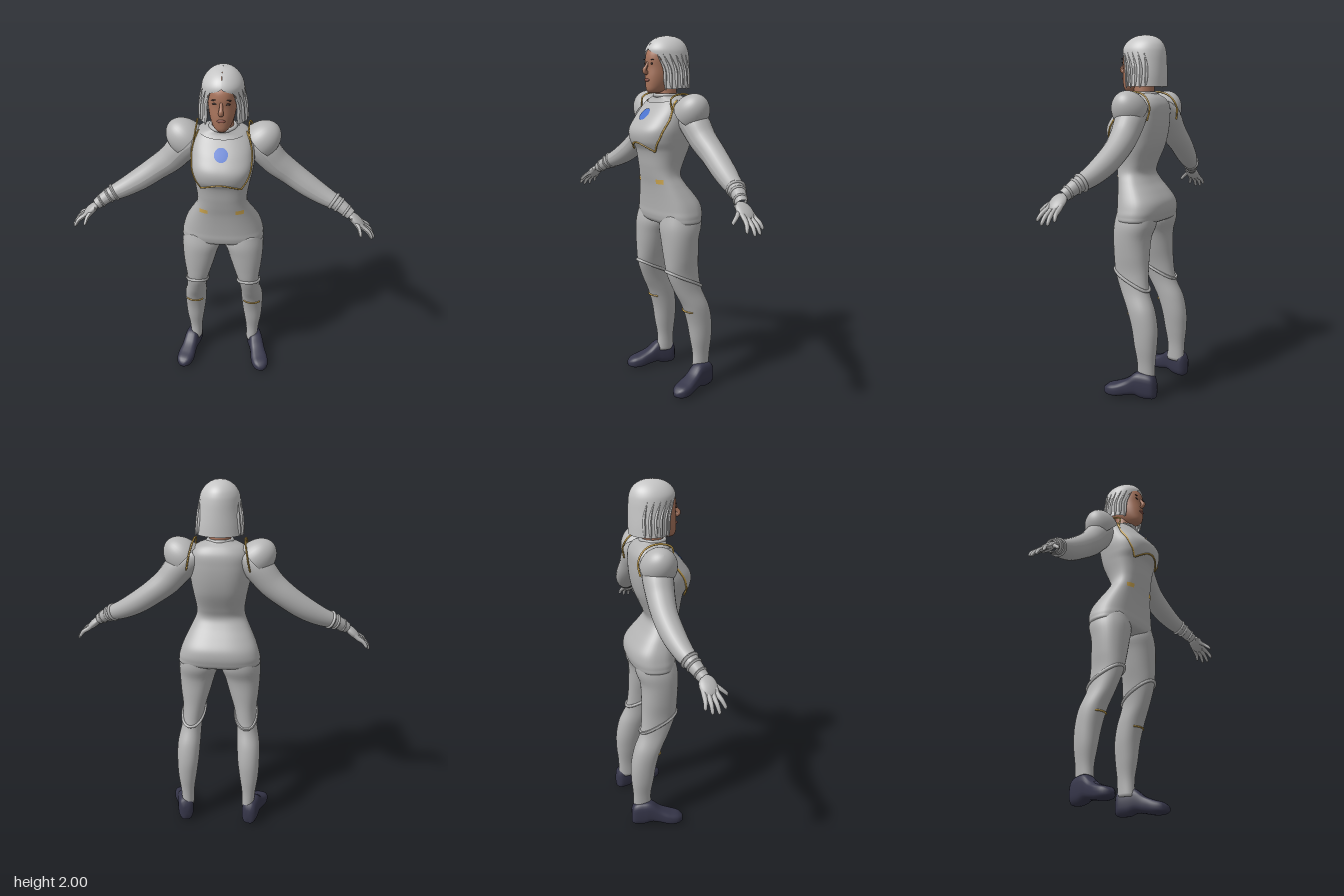
import * as THREE from 'three';

const paint = (name, color, side = THREE.FrontSide) =>
  Object.assign(new THREE.MeshStandardMaterial({ color, side }), { name });
const V = (x, y, z) => new THREE.Vector3(x, y, z);

// Smooth interpolation through rows whose first column rises
const profile = rows => y => {
  let i = 0;
  while (i < rows.length - 2 && y > rows[i + 1][0]) i++;
  const a = rows[i], b = rows[i + 1], p = rows[i - 1] || a, q = rows[i + 2] || b;
  const h = b[0] - a[0], t = (y - a[0]) / h, t2 = t * t, t3 = t2 * t;
  return a.map((v, k) => {
    const m = (b[k] - p[k]) / (b[0] - p[0]) * h, n = (q[k] - a[k]) / (q[0] - a[0]) * h;
    return v * (2 * t3 - 3 * t2 + 1) + m * (t3 - 2 * t2 + t) + b[k] * (3 * t2 - 2 * t3) + n * (t3 - t2);
  });
};

// Skin a list of point loops; closed loops may be capped
function loft(rings, closed = true) {
  const n = rings[0].length, pos = rings.flat().flatMap(p => [p.x, p.y, p.z]), idx = [];
  for (let i = 0; i < rings.length - 1; i++)
    for (let j = 0; j < (closed ? n : n - 1); j++) {
      const a = i * n + j, b = i * n + (j + 1) % n;
      idx.push(a, b, b + n, a, b + n, a + n);
    }
  if (closed) [0, rings.length - 1].forEach(i => {
    const c = rings[i].reduce((s, p) => s.add(p), V(0, 0, 0)).divideScalar(n), k = pos.length / 3;
    pos.push(c.x, c.y, c.z);
    for (let j = 0; j < n; j++) {
      const a = i * n + j, b = i * n + (j + 1) % n;
      i ? idx.push(k, a, b) : idx.push(k, b, a);
    }
  });
  const g = new THREE.BufferGeometry();
  g.setAttribute('position', new THREE.Float32BufferAttribute(pos, 3));
  g.setIndex(idx);
  g.computeVertexNormals();
  return g;
}

// Upright body from rows [y, xMin, xMax, zFront, zBack]
function body(rows, power = 2, steps = 50, sides = 36) {
  const prof = profile(rows), y0 = rows[0][0], y1 = rows[rows.length - 1][0];
  const bend = v => Math.sign(v) * Math.abs(v) ** (2 / power);
  const at = (y, a, out = 0) => {
    const [, l, r, f, b] = prof(y);
    return V((l + r) / 2 + ((r - l) / 2 + out) * bend(Math.sin(a)), y, (f + b) / 2 + ((f - b) / 2 + out) * bend(Math.cos(a)));
  };
  const front = (x, y, out = 0) => {
    const [, l, r, f, b] = prof(y), u = Math.min(0.985, Math.abs(x - (l + r) / 2) / ((r - l) / 2));
    return V(x, y, (f + b) / 2 + (f - b) / 2 * (1 - u ** power) ** (1 / power) + out);
  };
  const rings = Array.from({ length: steps + 1 }, (_, i) =>
    Array.from({ length: sides }, (_, j) => at(y0 + (y1 - y0) * i / steps, j / sides * Math.PI * 2)));
  return { geometry: loft(rings), at, front };
}
const sym = rows => rows.map(([y, w, f, b]) => [y, -w, w, f, b]);

// Tube whose radius changes along the path, points are [x, y, z, radius]
function limb(pts, steps = 24, sides = 16) {
  const curve = new THREE.CatmullRomCurve3(pts.map(p => V(p[0], p[1], p[2])));
  const g = new THREE.TubeGeometry(curve, steps, 1, sides), P = g.attributes.position;
  const radius = profile(pts.map((p, i) => [i / (pts.length - 1), p[3]]));
  for (let i = 0; i <= steps; i++) {
    const c = curve.getPointAt(i / steps), r = radius(curve.getUtoTmapping(i / steps))[1];
    for (let j = 0; j <= sides; j++) {
      const k = i * (sides + 1) + j, v = V().fromBufferAttribute(P, k).sub(c).multiplyScalar(r).add(c);
      P.setXYZ(k, v.x, v.y, v.z);
    }
  }
  g.computeVertexNormals();
  return g;
}
const cord = (pts, r, closed = false) =>
  new THREE.TubeGeometry(new THREE.CatmullRomCurve3(pts, closed), pts.length * 3, r, 6, closed);
const line = (n, f) => Array.from({ length: n + 1 }, (_, i) => f(i / n));
const ball = (sx, sy, sz, x, y, z, rz = 0) =>
  new THREE.SphereGeometry(1, 20, 14).scale(sx, sy, sz).rotateZ(rz).translate(x, y, z);

function mirrored(g) {
  const m = g.clone().scale(-1, 1, 1), ix = m.index;
  for (let i = 0; i < ix.count; i += 3) {
    const b = ix.getX(i + 1);
    ix.setX(i + 1, ix.getX(i + 2));
    ix.setX(i + 2, b);
  }
  m.computeVertexNormals();
  return m;
}

export function createModel() {
  const suit = paint('suit grey', 0xb2b2b2), plateGrey = paint('plate grey', 0xb6b6b6, THREE.DoubleSide);
  const hairMat = paint('silver hair', 0xc6c6c6, THREE.DoubleSide), skin = paint('skin', 0xa8745c);
  const boot = paint('dark boot', 0x36364a), gold = paint('gold trim', 0xcfa850);
  const blue = paint('blue disc', 0x4a72cc, THREE.DoubleSide), dark = paint('eye brown', 0x3c2b26), lip = paint('lip', 0x8c5348);
  const model = new THREE.Group();
  const add = (name, geo, mat) => {
    const mesh = new THREE.Mesh(geo, mat);
    mesh.name = name;
    model.add(mesh);
  };
  const pair = (name, geo, mat) => { add(name + 'Left', geo, mat); add(name + 'Right', mirrored(geo), mat); };

  // Torso
  const torso = body(sym([[0.965, 0.1, 0.04, -0.07], [0.985, 0.215, 0.085, -0.135], [1.02, 0.229, 0.1, -0.155],
    [1.06, 0.221, 0.102, -0.16], [1.1, 0.208, 0.105, -0.15], [1.15, 0.185, 0.11, -0.115], [1.2, 0.16, 0.117, -0.075],
    [1.25, 0.138, 0.128, -0.05], [1.3, 0.135, 0.138, -0.065], [1.39, 0.15, 0.155, -0.105], [1.44, 0.16, 0.182, -0.12],
    [1.5, 0.168, 0.185, -0.13], [1.56, 0.167, 0.145, -0.133], [1.62, 0.158, 0.095, -0.128], [1.66, 0.125, 0.065, -0.105],
    [1.68, 0.075, 0.06, -0.08], [1.69, 0.062, 0.055, -0.07]]), 2.5, 90, 48);
  add('torso', torso.geometry, suit);

  // Breastplate with gold border
  const plateWidth = profile([[0, 0.105], [0.3, 0.145], [0.6, 0.156], [0.85, 0.145], [1, 0.125]]);
  const plate = (u, v, out = 0.01) => {
    const low = 1.39 + 0.045 * Math.cos(u * Math.PI / 2), top = 1.645 + 0.015 * u * u;
    return torso.front(u * plateWidth(v)[1], low + (top - low) * v, out);
  };
  add('breastplate', loft(line(24, v => line(32, u => plate(2 * u - 1, v))), false), plateGrey);
  pair('breastplateSideTrim', cord(line(16, v => plate(1, v)), 0.005), gold);
  add('breastplateLowerTrim', cord(line(16, u => plate(2 * u - 1, 0)), 0.005), gold);
  add('chestDisc', loft(line(4, r => line(20, a =>
    torso.front(r * 0.036 * Math.cos(a * 2 * Math.PI), 1.585 + r * 0.03 * Math.sin(a * 2 * Math.PI), 0.015))), false), blue);
  pair('shoulderTrim', cord([plate(1, 0.8), V(0.138, 1.67, 0.06), V(0.135, 1.692, -0.02), V(0.142, 1.67, -0.09),
    V(0.155, 1.61, -0.128), V(0.168, 1.54, -0.12)], 0.005), gold);
  pair('hipMark', loft(line(3, v => line(5, u => torso.front(0.075 + 0.045 * u, 1.21 + 0.025 * v, 0.003))), false), gold);
  add('collar', new THREE.TorusGeometry(0.064, 0.011, 10, 36).rotateX(Math.PI / 2).translate(0, 1.682, -0.005), suit);

  // Legs with knee ridge and shin trim
  const leg = body([[0.1, 0.145, 0.215, -0.07, -0.175], [0.2, 0.142, 0.222, -0.072, -0.177], [0.3, 0.128, 0.236, -0.055, -0.186],
    [0.4, 0.115, 0.241, -0.038, -0.186], [0.5, 0.108, 0.239, -0.006, -0.166], [0.6, 0.103, 0.22, 0.045, -0.126],
    [0.7, 0.085, 0.214, 0.084, -0.113], [0.8, 0.056, 0.224, 0.095, -0.11], [0.9, 0.028, 0.231, 0.1, -0.113],
    [0.97, 0.005, 0.231, 0.1, -0.135], [1.04, 0.02, 0.215, 0.085, -0.135]], 2.15, 56, 32);
  pair('leg', leg.geometry, suit);
  pair('kneeRidge', cord(line(23, t => {
    const a = t * Math.PI * 2 * 23 / 24;
    return leg.at(0.665 + 0.055 * Math.cos(a), a, 0.002);
  }), 0.009, true), suit);
  pair('shinTrim', cord(line(8, t => leg.at(0.475, -0.75 + 1.5 * t, 0.002)), 0.005), gold);

  // Boots: sections [distance from heel, half width, sole height, top]
  const bootShape = profile([[0, 0.022, 0.012, 0.1], [0.015, 0.041, 0.002, 0.135], [0.08, 0.046, 0.002, 0.15],
    [0.12, 0.045, 0.015, 0.145], [0.17, 0.047, 0.01, 0.105], [0.23, 0.053, 0, 0.078], [0.28, 0.043, 0.002, 0.062], [0.305, 0.018, 0.012, 0.042]]);
  const round = v => Math.sign(v) * Math.abs(v) ** 0.7;
  pair('boot', loft(line(28, t => {
    const [s, w, lo, hi] = bootShape(t * 0.305);
    return line(23, k => {
      const a = k * 23 / 24 * Math.PI * 2, x = w * round(Math.cos(a));
      return V(0.183 + s * 0.235 + x * 0.97, (lo + hi) / 2 + (hi - lo) / 2 * round(Math.sin(a)), -0.19 + s * 0.97 - x * 0.23);
    });
  })), boot);

  // Arms, shoulder guards and cuffs
  pair('arm', limb([[0.12, 1.6, -0.04, 0.06], [0.2, 1.55, -0.04, 0.08], [0.28, 1.46, -0.045, 0.074], [0.36, 1.395, -0.048, 0.067],
    [0.46, 1.325, -0.035, 0.062], [0.55, 1.275, -0.015, 0.052], [0.63, 1.24, 0.01, 0.04], [0.7, 1.195, 0.04, 0.03]], 40, 24), suit);
  pair('shoulderGuard', new THREE.SphereGeometry(1, 32, 14, 0, Math.PI * 2, 0, Math.PI / 2)
    .scale(0.095, 0.13, 0.098).rotateZ(-0.8).translate(0.188, 1.585, -0.03), plateGrey);
  const cuffRing = new THREE.TorusGeometry(0.037, 0.008, 8, 24);
  for (const [i, x, y, z, r] of [[1, 0.605, 1.252, 0, 1.15], [2, 0.635, 1.237, 0.012, 1], [3, 0.675, 1.212, 0.03, 0.85]])
    pair('cuffFold' + i, cuffRing.clone().scale(r, r, r).rotateY(1.2).rotateZ(-0.45).translate(x, y, z), suit);

  // Gloved hands
  pair('palm', ball(0.06, 0.022, 0.046, 0.732, 1.168, 0.05, -0.72), suit);
  [[0.765, 1.14, 0.018, 0.818, 1.088, 0.008], [0.772, 1.135, 0.04, 0.834, 1.07, 0.038], [0.772, 1.135, 0.062, 0.837, 1.068, 0.072],
    [0.765, 1.143, 0.082, 0.822, 1.083, 0.108], [0.715, 1.175, 0.075, 0.757, 1.115, 0.14]].forEach(([x, y, z, X, Y, Z], i) =>
    pair(i < 4 ? 'finger' + (i + 1) : 'thumb', limb([[x - 0.02, y + 0.018, z, 0.012], [x, y, z, 0.013],
      [(x + X) / 2 + 0.006, (y + Y) / 2 + 0.006, (z + Z) / 2, 0.011], [X - 0.004, Y + 0.006, Z, 0.008], [X, Y, Z, 0.001]], 12, 10), suit));

  // Neck, head and face
  add('neck', new THREE.CylinderGeometry(0.054, 0.06, 0.14, 28).translate(0, 1.7, -0.005), skin);
  const head = body(sym([[1.695, 0.022, 0.105, 0.05], [1.71, 0.04, 0.118, 0], [1.74, 0.057, 0.122, -0.05], [1.78, 0.068, 0.122, -0.08],
    [1.83, 0.074, 0.118, -0.1], [1.88, 0.076, 0.119, -0.11], [1.92, 0.073, 0.105, -0.1], [1.96, 0.05, 0.06, -0.07]]), 2.2, 40, 36);
  add('head', head.geometry, skin);
  add('nose', limb([[0, 1.86, 0.113, 0.007], [0, 1.835, 0.126, 0.009], [0, 1.815, 0.137, 0.013], [0, 1.803, 0.125, 0.012], [0, 1.797, 0.11, 0.002]], 14, 12), skin);
  const onFace = (x, y, w, h, d = 0.004, tilt = 0) => ball(w, h, d, x, y, head.front(x, y).z, tilt);
  pair('eye', onFace(0.031, 1.851, 0.014, 0.005), dark);
  pair('brow', onFace(0.033, 1.872, 0.018, 0.003, 0.004, -0.1), dark);
  add('lips', onFace(0, 1.765, 0.023, 0.008, 0.006), lip);

  // Bobbed hair, parted around the face: [y, half width, zFront, zBack, opening]
  const hairRow = profile([[1.72, 0.124, 0.085, -0.134, 0.68], [1.78, 0.12, 0.09, -0.135, 0.69], [1.85, 0.112, 0.1, -0.134, 0.72],
    [1.895, 0.108, 0.112, -0.132, 0.58], [1.925, 0.102, 0.114, -0.127, 0.02], [1.955, 0.085, 0.097, -0.113, 0.01],
    [1.98, 0.058, 0.066, -0.085, 0.01], [1.994, 0.028, 0.026, -0.048, 0], [1.998, 0.002, -0.008, -0.012, 0]]);
  const hairAt = (y, t) => {
    const [, w, f, b, open] = hairRow(y), a = Math.max(0, open) + t * 2 * (Math.PI - Math.max(0, open));
    return V(w * Math.sin(a), y, (f + b) / 2 + (f - b) / 2 * Math.cos(a));
  };
  add('hair', loft(line(48, v => line(48, t => hairAt(1.72 + 0.278 * v, t))), false), hairMat);
  for (let i = 0; i < 6; i++) {
    const t = 0.01 + i * 0.055, end = hairAt(1.72, t);
    pair('hairLock' + (i + 1), limb([[...hairAt(1.9, t), 0.001], [...hairAt(1.82, t), 0.008], [...hairAt(1.75, t), 0.008],
      [end.x * 1.04, 1.712 + 0.008 * (i % 2), end.z, 0.002]], 10, 8), hairMat);
  }
  return model;
}
